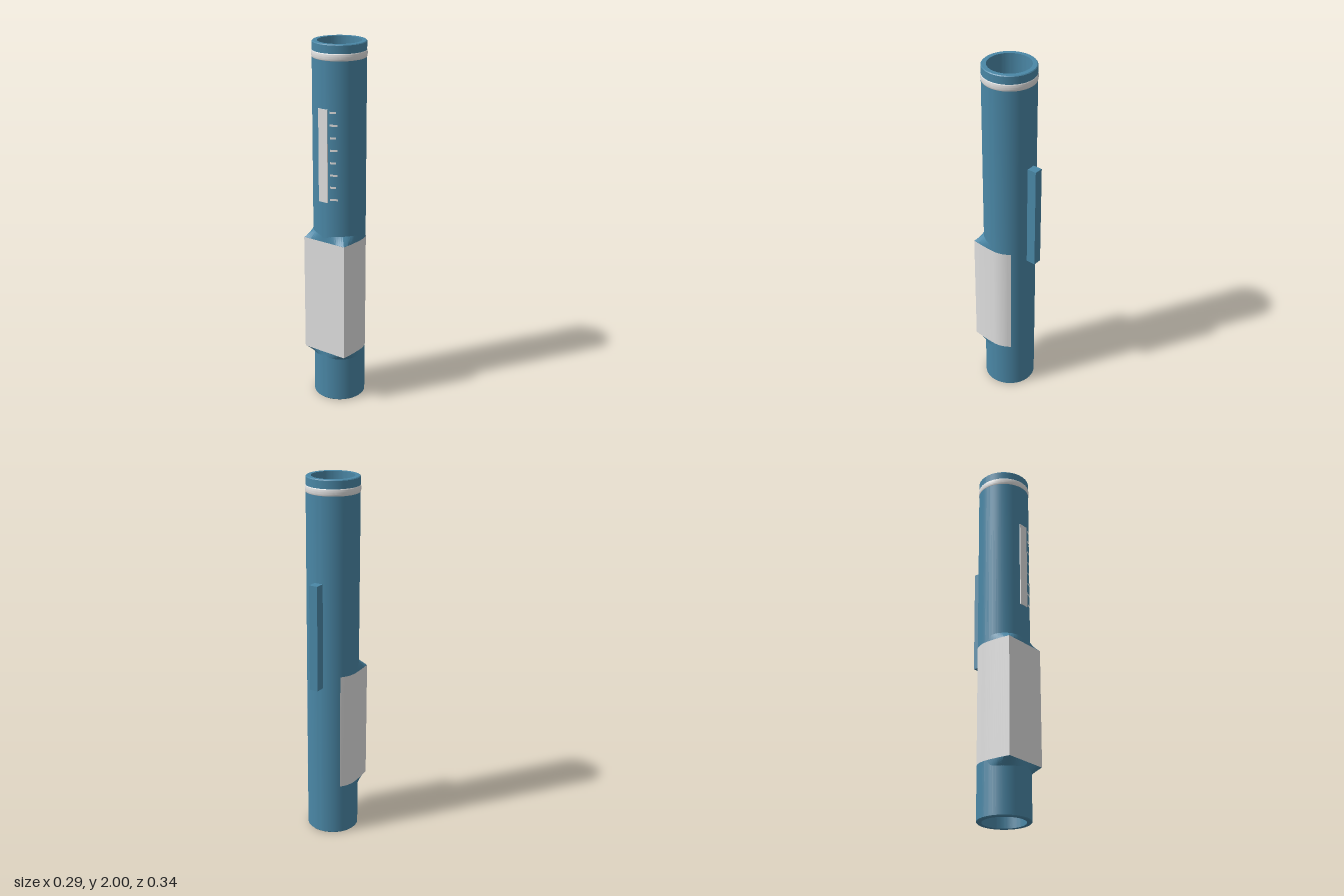
import * as THREE from 'three';
import { toCreasedNormals } from 'three/addons/utils/BufferGeometryUtils.js';

const R = 0.141, INNER = 0.114, AXIS_Z = 0.022;
const FLAT_HALF = 0.13, FLAT_Z = 0.142;            // flat front of the grip
const CORNER = Math.atan2(FLAT_HALF, FLAT_Z);

const blue = new THREE.MeshStandardMaterial({ color: 0x4a87a6 });
blue.name = 'blue body';
const white = new THREE.MeshStandardMaterial({ color: 0xe0e0e0 });
white.name = 'off-white label';

function circlePoint(t, r) {
  return [Math.sin(t) * r, Math.cos(t) * r];
}

// D-shaped section: flat front, bowed cheeks, round back
function gripPoint(t) {
  const a = Math.abs(t), s = Math.sign(t);
  if (a <= CORNER) return [s * FLAT_Z * Math.tan(a), FLAT_Z];
  if (a >= Math.PI / 2) return circlePoint(t, R);
  const c = Math.cos(a) / Math.cos(CORNER);
  return [s * (R - (R - FLAT_HALF) * c * c), FLAT_Z * c];
}

// Angles from -end to +end that land exactly on the two corners
function angles(end) {
  const list = [];
  const run = (a, b, n) => { for (let i = 0; i < n; i++) list.push(a + (b - a) * i / n); };
  run(-end, -CORNER, 24);
  run(-CORNER, CORNER, 24);
  run(CORNER, end, 24);
  list.push(end);
  return list;
}

// Skin stacked sections, each { y, at(angle) -> [x, z] }
function loft(thetas, sections, crease = 0.5) {
  const pos = [], index = [], n = thetas.length;
  sections.forEach(({ y, at }) => thetas.forEach(t => {
    const [x, z] = at(t);
    pos.push(x, y, z);
  }));
  for (let j = 0; j < sections.length - 1; j++) {
    for (let i = 0; i < n - 1; i++) {
      const a = j * n + i, b = a + 1, c = a + n, d = c + 1;
      index.push(a, b, d, a, d, c);
    }
  }
  const g = new THREE.BufferGeometry();
  g.setAttribute('position', new THREE.Float32BufferAttribute(pos, 3));
  g.setIndex(index);
  return toCreasedNormals(g, crease);
}

function lathe(points) {
  const g = new THREE.LatheGeometry(points.map(p => new THREE.Vector2(...p)), 96);
  return toCreasedNormals(g, 0.6);
}

export function createModel() {
  const model = new THREE.Group();
  model.name = 'tubeDevice';
  const body = new THREE.Group();
  body.name = 'body';
  body.position.z = AXIS_Z;
  model.add(body);

  const add = (name, geometry, material, x = 0, y = 0, z = 0) => {
    const mesh = new THREE.Mesh(geometry, material);
    mesh.name = name;
    mesh.position.set(x, y, z);
    body.add(mesh);
    return mesh;
  };

  // Hollow tube, open at both ends
  add('tube', lathe([
    [R - 0.004, 0], [R, 0.004], [R, 1.996], [R - 0.004, 2],
    [INNER, 2], [INNER, 0], [R - 0.004, 0],
  ]), blue);

  // Rounded band near the top
  const band = [];
  for (let i = 0; i <= 10; i++) {
    const a = Math.PI * i / 10;
    band.push([R - 0.001 + 0.004 * Math.sin(a), 1.936 - 0.019 * Math.cos(a)]);
  }
  add('topBand', lathe(band), white);

  // Squared grip blending into the tube above and below
  const round = t => circlePoint(t, R - 0.001);
  add('grip', loft(angles(Math.PI / 2), [
    { y: 0.253, at: round },
    { y: 0.29, at: gripPoint },
    { y: 0.945, at: gripPoint },
    { y: 0.985, at: round },
  ]), blue);

  // Label wrapped round the front and sides of the grip
  const skin = t => gripPoint(t).map(v => v * 1.01);
  const label = add('label', loft(angles(2.3), [
    { y: 0.29, at: skin },
    { y: 0.945, at: skin },
  ]), white);
  label.material = white;

  // Dose window and its scale
  add('window', new THREE.BoxGeometry(0.056, 0.5, 0.009), white, -0.002, 1.42, 0.1392);
  for (let i = 0; i < 8; i++) {
    const start = 0.27, end = i % 2 ? 0.5 : 0.56;
    const tick = new THREE.CylinderGeometry(R + 0.0015, R + 0.0015, 0.011, 8, 1, true, start, end - start);
    add('scaleMark' + (i + 1), tick, white, 0, 1.19 + i * 0.0665, 0);
  }

  // Rail on the back
  add('backRail', new THREE.BoxGeometry(0.049, 0.58, 0.06), blue, 0, 1.17, -0.162);

  return model;
}
